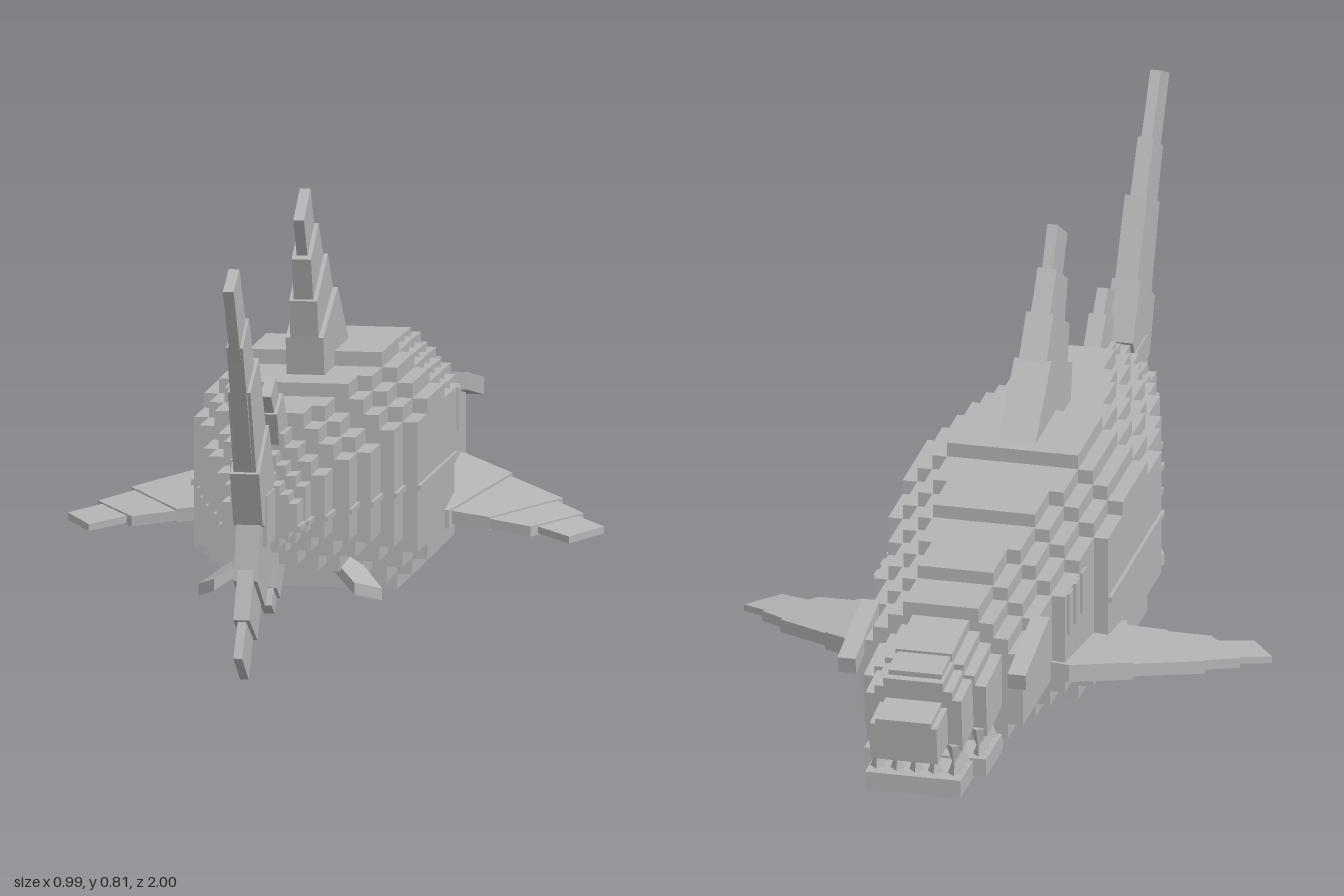
import * as THREE from 'three';

const skin = new THREE.MeshStandardMaterial({ color: 0xb4b4b4 });
skin.name = 'grey skin';

function add(parent, name, geometry) {
  const mesh = new THREE.Mesh(geometry, skin);
  mesh.name = name;
  parent.add(mesh);
  return mesh;
}

function box(parent, name, x0, x1, y0, y1, z0, z1) {
  const m = add(parent, name, new THREE.BoxGeometry(x1 - x0, y1 - y0, z1 - z0));
  m.position.set((x0 + x1) / 2, (y0 + y1) / 2, (z0 + z1) / 2);
  return m;
}

// Block with corners cut into small stairs, running from z0 to z1
function steppedBlock(parent, name, [z0, z1, w, yb, yt], topSteps = 3, bottomSteps = 2) {
  const s = Math.min(0.028, w / 4, (yt - yb) / 8);
  const half = [];
  for (let i = bottomSteps; i >= 0; i--) {
    const x = w - i * s, y = yb + (bottomSteps - i) * s;
    half.push([x, y]);
    if (i > 0) half.push([x, y + s]);
  }
  for (let i = 0; i <= topSteps; i++) {
    const x = w - i * s, y = yt - (topSteps - i) * s;
    if (i > 0) half.push([x, y - s]);
    half.push([x, y]);
  }
  const mirrored = half.map(([x, y]) => [-x, y]).reverse();
  const shape = new THREE.Shape([...half, ...mirrored].map(p => new THREE.Vector2(...p)));
  const g = new THREE.ExtrudeGeometry(shape, { depth: z1 - z0, bevelEnabled: false });
  g.translate(0, 0, z0);
  return add(parent, name, g);
}

// Upright plate from (z, y) corners, centred on x = 0
function uprightPlate(parent, name, halfWidth, points) {
  const shape = new THREE.Shape(points.map(([z, y]) => new THREE.Vector2(-z, y)));
  const g = new THREE.ExtrudeGeometry(shape, { depth: 2 * halfWidth, bevelEnabled: false });
  g.translate(0, 0, -halfWidth);
  g.rotateY(Math.PI / 2);
  return add(parent, name, g);
}

// Sloping plate from (x, z) corners; height(x, z) gives its middle level
function slopingPlate(parent, name, thickness, points, height, side) {
  const shape = new THREE.Shape(points.map(([x, z]) => new THREE.Vector2(side * x, -z)));
  const g = new THREE.ExtrudeGeometry(shape, { depth: thickness, bevelEnabled: false });
  g.rotateX(-Math.PI / 2);
  const p = g.attributes.position;
  for (let i = 0; i < p.count; i++)
    p.setY(i, p.getY(i) - thickness / 2 + height(Math.abs(p.getX(i)), p.getZ(i)));
  g.computeVertexNormals();
  return add(parent, name, g);
}

export function createModel() {
  const model = new THREE.Group();
  model.name = 'shark';

  // Body: z start, z end, half width, bottom, top
  const segments = [
    [-0.71, -0.60, 0.155, 0.13, 0.41], [-0.60, -0.49, 0.155, 0.13, 0.435],
    [-0.49, -0.38, 0.18, 0.105, 0.435], [-0.38, -0.27, 0.18, 0.08, 0.46],
    [-0.27, -0.16, 0.207, 0.05, 0.46], [-0.16, 0.03, 0.207, 0.05, 0.487],
    [0.03, 0.14, 0.207, 0.08, 0.46], [0.14, 0.24, 0.18, 0.105, 0.46],
    [0.24, 0.35, 0.155, 0.13, 0.435], [0.35, 0.44, 0.13, 0.145, 0.435],
    [0.44, 0.53, 0.10, 0.17, 0.41], [0.53, 0.59, 0.075, 0.20, 0.38],
    [0.59, 0.655, 0.07, 0.22, 0.35],
  ];
  const body = new THREE.Group();
  body.name = 'body';
  model.add(body);
  segments.forEach((seg, i) => {
    steppedBlock(body, 'bodySegment', seg);
    if (i > 3) box(body, 'lateralLine', -seg[2] - 0.006, seg[2] + 0.006, 0.25, 0.26, seg[0], seg[1]);
  });
  box(body, 'tailStem', -0.03, 0.03, 0.235, 0.33, 0.65, 0.75);

  // Snout, tipped slightly downwards
  const snout = new THREE.Group();
  snout.name = 'snout';
  snout.position.set(0, 0.29, -0.71);
  snout.rotation.x = -0.1;
  model.add(snout);
  steppedBlock(snout, 'upperHead', [-0.12, 0.03, 0.115, -0.07, 0.095], 3, 0);
  steppedBlock(snout, 'upperSnout', [-0.205, -0.12, 0.09, -0.055, 0.08], 2, 0);
  steppedBlock(snout, 'nose', [-0.287, -0.2, 0.063, -0.043, 0.04], 1, 0);
  box(snout, 'snoutPlate', -0.05, 0.05, 0.07, 0.09, -0.19, -0.1);

  // Lower jaw
  box(model, 'lowerJaw', -0.115, 0.115, 0.13, 0.165, -0.83, -0.70);
  box(model, 'chin', -0.09, 0.09, 0.125, 0.16, -0.925, -0.82);
  box(model, 'mouthInside', -0.08, 0.08, 0.15, 0.24, -0.75, -0.70);

  // Teeth along both jaws
  const tooth = new THREE.ConeGeometry(0.015, 0.045, 4).toNonIndexed();
  tooth.computeVertexNormals();
  const placeTeeth = (x, z) => {
    add(model, 'lowerTooth', tooth).position.set(x, 0.18, z);
    const upper = add(model, 'upperTooth', tooth);
    upper.position.set(x, 0.202, z - 0.013);
    upper.rotation.z = Math.PI;
  };
  for (const side of [1, -1])
    for (let i = 0; i < 7; i++) placeTeeth(side * (i < 4 ? 0.098 : 0.073), -0.725 - i * 0.028);
  for (let i = -1; i <= 1; i++) placeTeeth(i * 0.035, -0.893);

  for (const side of [1, -1]) {
    // Brow ridge above each eye
    const brow = box(model, 'brow', side * 0.16 - 0.017, side * 0.16 + 0.017, 0.305, 0.337, -0.78, -0.59);
    brow.rotation.x = -0.2;

    // Gill covers
    for (let i = 0; i < 3; i++) {
      const z = -0.345 - i * 0.05, w = i < 3 ? 0.181 : 0.156;
      box(model, 'gill', side * w - 0.004, side * w + 0.004, 0.27, 0.35, z - 0.03, z);
    }

    // Pectoral fin in three overlapping steps
    const level = (x, z) => 0.203 - 0.15 * (z + 0.49) - 0.08 * (x - 0.18);
    const wind = pts => pts;
    slopingPlate(model, 'pectoralFinRoot', 0.034, wind([[0.12, -0.5], [0.19, -0.5], [0.29, -0.415], [0.215, -0.16], [0.12, -0.16]]), level, side);
    slopingPlate(model, 'pectoralFinMiddle', 0.025, wind([[0.19, -0.48], [0.27, -0.425], [0.4, -0.315], [0.29, -0.16], [0.18, -0.18]]), level, side);
    slopingPlate(model, 'pectoralFinOuter', 0.019, wind([[0.3, -0.375], [0.39, -0.305], [0.45, -0.25], [0.37, -0.14], [0.25, -0.17]]), level, side);
    slopingPlate(model, 'pectoralFinTip', 0.013, wind([[0.36, -0.3], [0.497, -0.195], [0.445, -0.115], [0.34, -0.18]]), level, side);

    // Pelvic fin
    slopingPlate(model, 'pelvicFin', 0.022, [[0.07, 0.2], [0.11, 0.22], [0.17, 0.31], [0.13, 0.38], [0.06, 0.29]],
      (x, z) => 0.155 - 0.6 * (x - 0.06) - 0.05 * (z - 0.2), side);
  }

  // Dorsal fin, thinner towards the tip
  uprightPlate(model, 'dorsalFinBase', 0.035, [[0.14, 0.44], [0.155, 0.53], [-0.005, 0.6], [-0.13, 0.485], [-0.13, 0.44]]);
  uprightPlate(model, 'dorsalFinLower', 0.026, [[0.14, 0.46], [0.17, 0.6], [0.05, 0.67], [-0.03, 0.57], [-0.03, 0.46]]);
  uprightPlate(model, 'dorsalFinUpper', 0.018, [[0.14, 0.52], [0.19, 0.68], [0.105, 0.735], [0.015, 0.62], [0.03, 0.52]]);
  uprightPlate(model, 'dorsalFinTip', 0.01, [[0.16, 0.65], [0.22, 0.757], [0.147, 0.805], [0.075, 0.68]]);

  // Small second dorsal fin and anal fin
  uprightPlate(model, 'secondDorsalFin', 0.016, [[0.53, 0.39], [0.555, 0.45], [0.49, 0.48], [0.43, 0.41], [0.43, 0.38]]);
  uprightPlate(model, 'secondDorsalTip', 0.01, [[0.54, 0.44], [0.585, 0.487], [0.53, 0.515], [0.48, 0.46]]);
  uprightPlate(model, 'analFin', 0.016, [[0.54, 0.21], [0.56, 0.13], [0.52, 0.105], [0.44, 0.175], [0.44, 0.21]]);
  uprightPlate(model, 'analFinTip', 0.01, [[0.545, 0.15], [0.58, 0.1], [0.545, 0.08], [0.5, 0.13]]);

  // Tail fin, long upper lobe
  uprightPlate(model, 'tailUpperRoot', 0.027, [[0.78, 0.28], [0.82, 0.38], [0.71, 0.455], [0.65, 0.355], [0.70, 0.26]]);
  uprightPlate(model, 'tailUpperMiddle', 0.021, [[0.79, 0.32], [0.88, 0.54], [0.785, 0.59], [0.68, 0.4]]);
  uprightPlate(model, 'tailUpperOuter', 0.015, [[0.82, 0.39], [0.93, 0.63], [0.86, 0.675], [0.75, 0.5]]);
  uprightPlate(model, 'tailUpperTip', 0.01, [[0.87, 0.52], [1.0, 0.745], [0.935, 0.777], [0.82, 0.6]]);
  // Short lower lobe
  uprightPlate(model, 'tailLowerRoot', 0.022, [[0.78, 0.28], [0.81, 0.18], [0.72, 0.12], [0.645, 0.2], [0.70, 0.28]]);
  uprightPlate(model, 'tailLowerMiddle', 0.015, [[0.78, 0.24], [0.855, 0.115], [0.765, 0.065], [0.69, 0.17]]);
  uprightPlate(model, 'tailLowerTip', 0.008, [[0.81, 0.16], [0.895, 0.05], [0.82, 0.0], [0.74, 0.11]]);

  return model;
}
